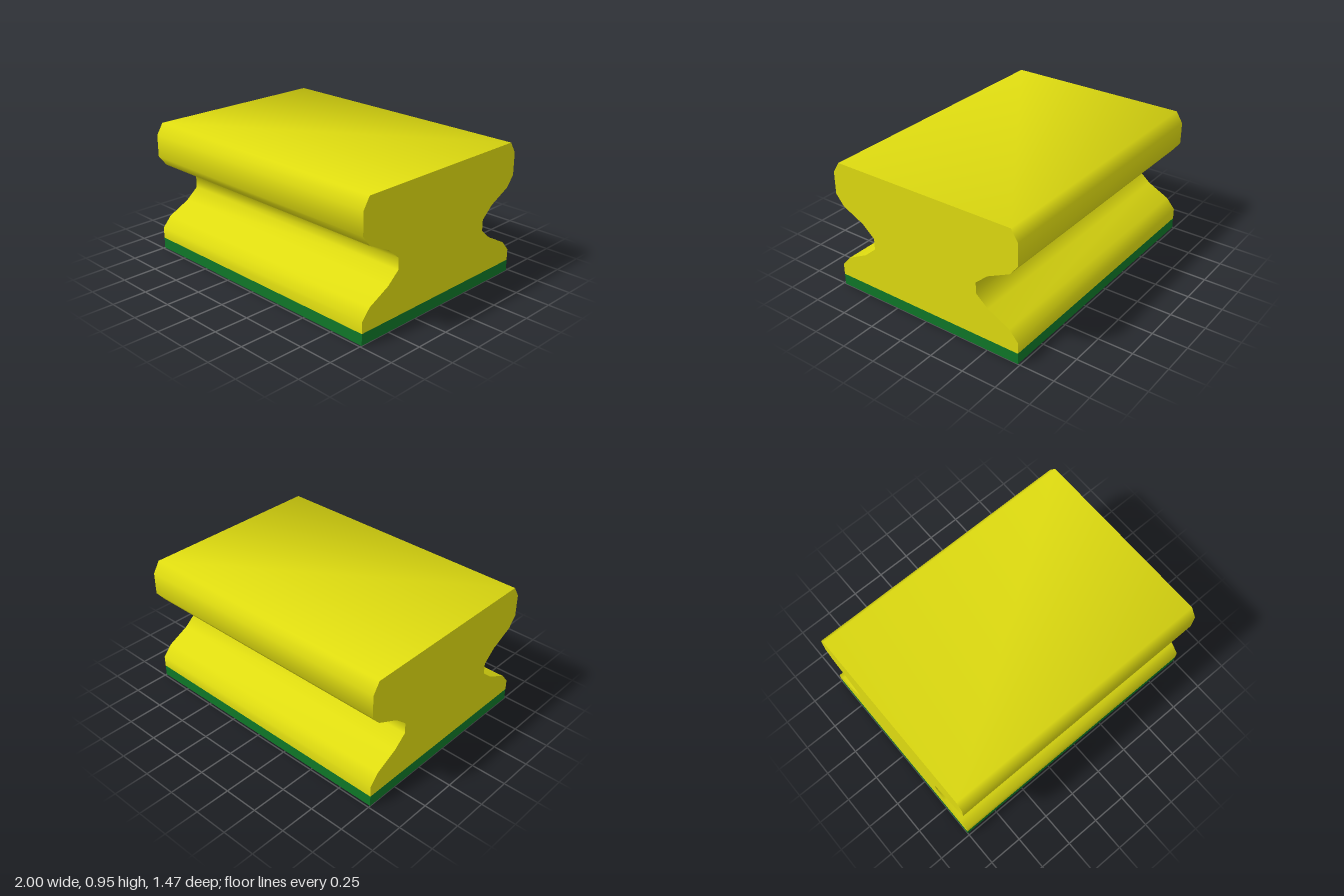
import * as THREE from 'three';
import { toCreasedNormals } from 'three/addons/utils/BufferGeometryUtils.js';

export function createModel() {
  const yellow = new THREE.MeshStandardMaterial({ color: 0xdfdc10 });
  yellow.name = 'yellow';
  const green = new THREE.MeshStandardMaterial({ color: 0x0f7728 });
  green.name = 'green';

  const length = 2, halfDepth = 0.735, baseHeight = 0.08;
  const group = new THREE.Group();
  group.name = 'waistedBlock';

  // Waisted body: half profile (depth, height) from bottom to top, mirrored
  const half = [
    [halfDepth, baseHeight], [halfDepth, 0.16], [0.67, 0.235], [0.51, 0.317],
    [0.42, 0.395], [0.42, 0.475], [0.51, 0.555], [0.675, 0.635],
    [halfDepth, 0.71], [halfDepth, 0.87], [0.685, 0.95],
  ];
  const mirrored = half.map(([d, h]) => [-d, h]).reverse();
  const profile = new THREE.Shape([...half, ...mirrored].map(([d, h]) => new THREE.Vector2(d, h)));
  const bodyGeometry = new THREE.ExtrudeGeometry(profile, { depth: length, bevelEnabled: false });
  bodyGeometry.translate(0, 0, -length / 2);
  bodyGeometry.rotateY(Math.PI / 2);
  // Smooth along the profile, sharp at the end caps
  const body = new THREE.Mesh(toCreasedNormals(bodyGeometry, 1.2), yellow);
  body.name = 'body';
  group.add(body);

  // Flat base pad
  const base = new THREE.Mesh(new THREE.BoxGeometry(length, baseHeight, halfDepth * 2), green);
  base.name = 'basePad';
  base.position.y = baseHeight / 2;
  group.add(base);

  return group;
}
